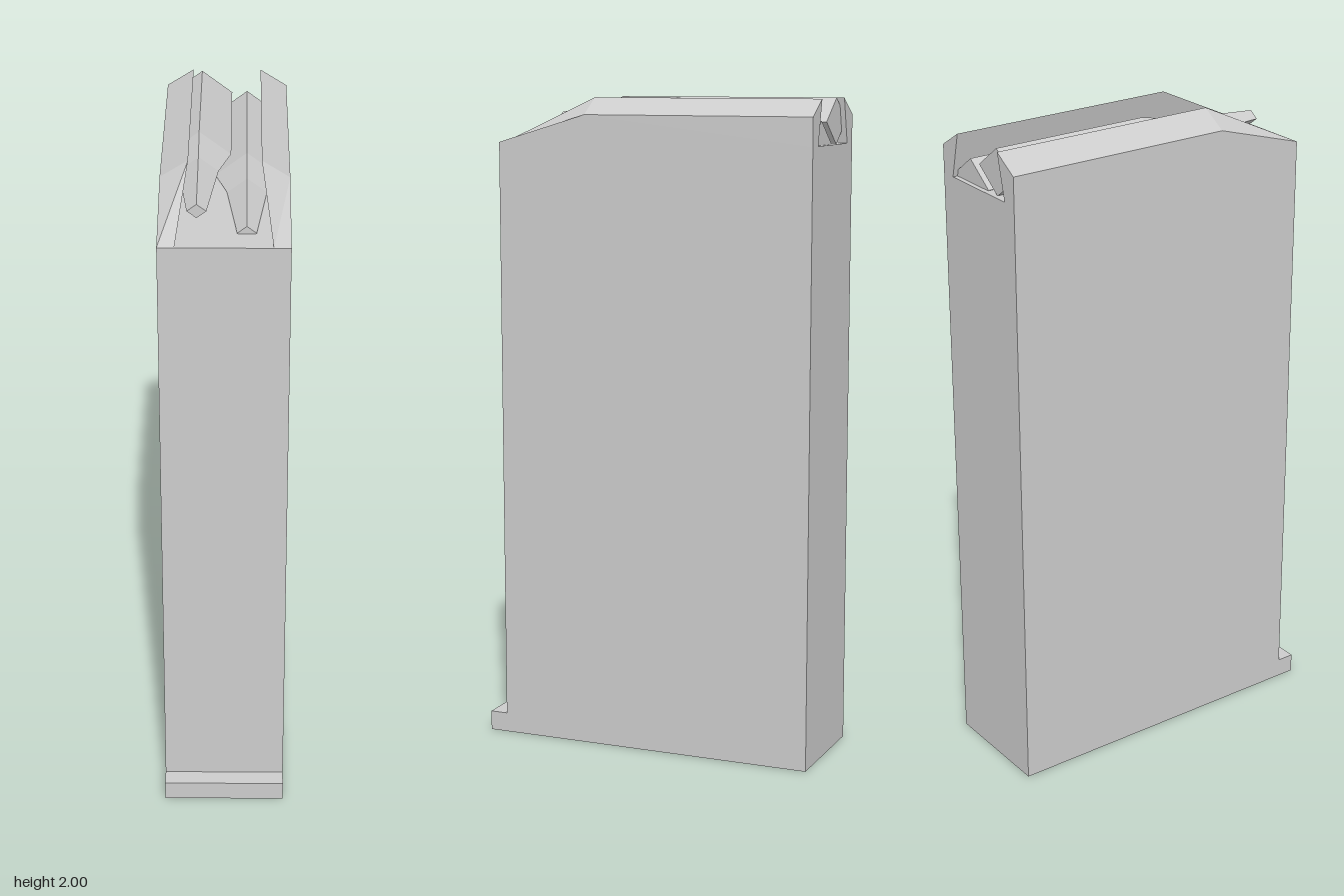
import * as THREE from 'three';

const material = new THREE.MeshStandardMaterial({ color: 0xcccccc, flatShading: true });
const HALF = 0.183, BACK = -0.53, FRONT = 0.475, DECK = 1.865;

function addMesh(group, name, geometry) {
  const mesh = new THREE.Mesh(geometry, material);
  mesh.name = name;
  group.add(mesh);
  return mesh;
}

// Closed solid through equal-length cross-sections, listed from back to front,
// each counter-clockwise as seen from +z.
function loft(sections) {
  const n = sections[0].length, last = (sections.length - 1) * n;
  const index = [];
  for (let r = 0; r < last; r += n) {
    for (let i = 0; i < n; i++) {
      const j = (i + 1) % n;
      index.push(r + i, r + j, r + n + j, r + i, r + n + j, r + n + i);
    }
  }
  for (let i = 1; i < n - 1; i++) {
    index.push(0, i + 1, i, last, last + i, last + i + 1);
  }
  const geometry = new THREE.BufferGeometry();
  geometry.setAttribute('position', new THREE.Float32BufferAttribute(sections.flat(2), 3));
  geometry.setIndex(index);
  const flat = geometry.toNonIndexed();
  flat.computeVertexNormals();
  return flat;
}

// Overhanging feed lip that runs along one top edge and slopes down at the front
function lipGeometry(side) {
  const section = (z, outerY, innerX, innerY) => {
    const ring = [[HALF, DECK], [HALF, outerY], [innerX, innerY], [0.135, DECK]]
      .map(([x, y]) => [side * x, y, z]);
    return side > 0 ? ring : ring.reverse();
  };
  return loft([
    section(BACK, 1.95, 0.103, 2),
    section(0.19, 1.95, 0.103, 2),
    section(FRONT, DECK, 0.135, DECK),
  ]);
}

// Four-sided round: straight case, shoulder, tapering blunt nose
function roundGeometry() {
  const profile = [[0, -0.515], [0.092, -0.515], [0.092, -0.02], [0.057, 0.105], [0.027, 0.383], [0, 0.383]];
  const geometry = new THREE.LatheGeometry(profile.map(([r, y]) => new THREE.Vector2(r, y)), 4);
  geometry.rotateX(Math.PI / 2);
  geometry.scale(1, 0.75, 1);
  return geometry;
}

export function createModel() {
  const group = new THREE.Group();
  group.name = 'magazine';

  // Tall case with the base toe, extruded across the width
  const side = new THREE.Shape([
    [BACK, 0], [0.53, 0], [0.53, 0.06], [FRONT, 0.06], [FRONT, DECK], [BACK, DECK],
  ].map(([z, y]) => new THREE.Vector2(-z, y)));
  const body = new THREE.ExtrudeGeometry(side, { depth: 2 * HALF, bevelEnabled: false });
  body.translate(0, 0, -HALF);
  body.rotateY(Math.PI / 2);
  addMesh(group, 'caseWithBase', body);

  // Feed lips
  addMesh(group, 'leftLip', lipGeometry(1));
  addMesh(group, 'rightLip', lipGeometry(-1));

  // Two staggered rounds, the lower one half sunk in the deck
  addMesh(group, 'upperRound', roundGeometry()).position.set(-0.076, 1.932, 0);
  addMesh(group, 'lowerRound', roundGeometry()).position.set(0.062, 1.867, 0);

  return group;
}
